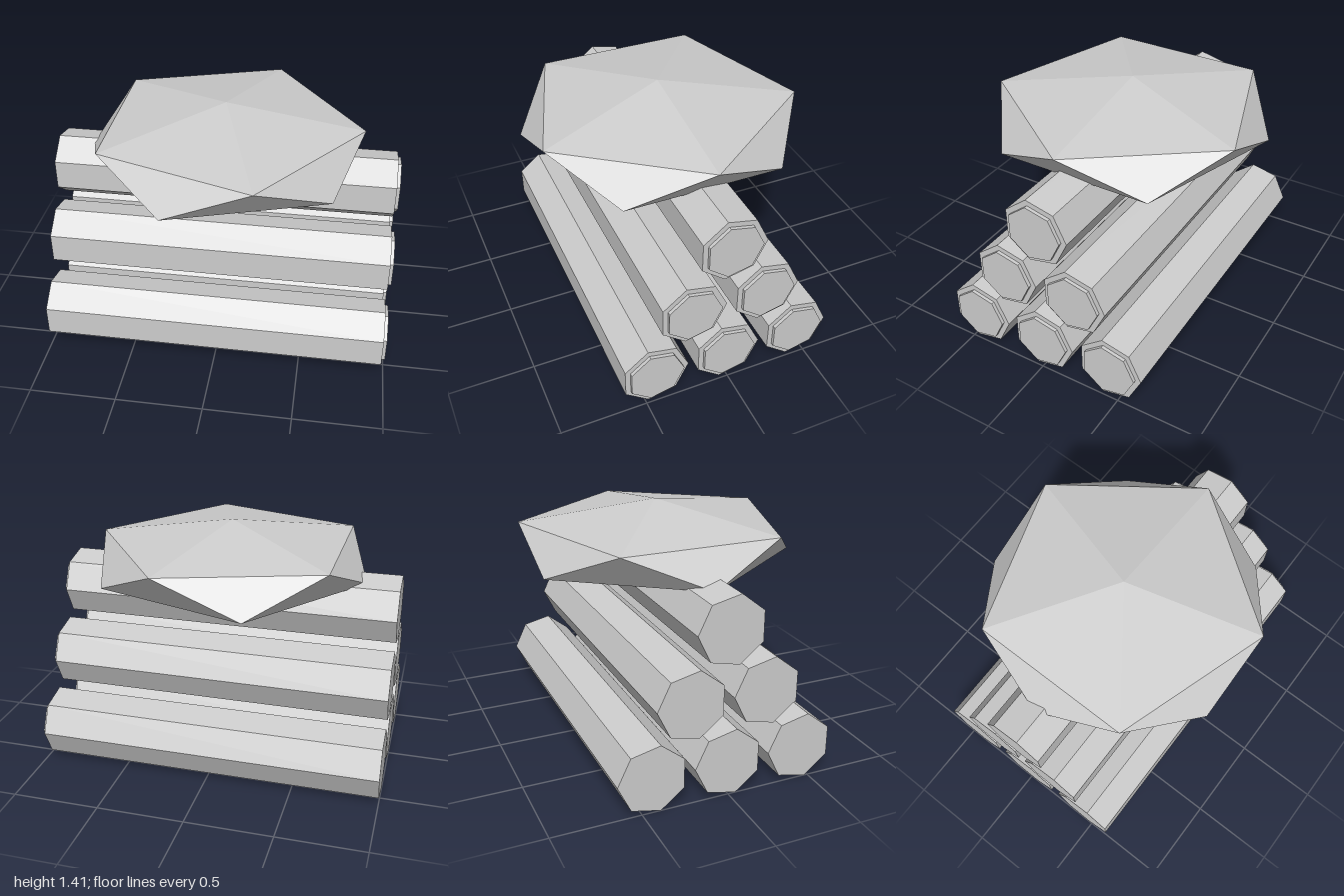
import * as THREE from 'three';

export function createModel() {
  const model = new THREE.Group();
  const grey = new THREE.MeshStandardMaterial({ color: 0xcccccc, flatShading: true });
  grey.name = 'paleGrey';

  // Seven-sided prism lying along x, one corner pointing to the back
  const prism = (radius, x0, x1) =>
    new THREE.CylinderGeometry(radius, radius, x1 - x0, 7, 1, false, Math.PI)
      .rotateZ(-Math.PI / 2)
      .translate((x0 + x1) / 2, 0, 0);
  const barkGeometry = prism(0.197, -1, 0.98);
  const capGeometry = prism(0.164, 0.97, 1);

  // Pyramid stack of logs: three, two, one
  [3, 2, 1].forEach((count, row) => {
    for (let i = 0; i < count; i++) {
      const log = new THREE.Group();
      log.name = `log${row + 1}_${i + 1}`;
      const bark = new THREE.Mesh(barkGeometry, grey);
      bark.name = 'logBody';
      const cap = new THREE.Mesh(capGeometry, grey);
      cap.name = 'cutEnd';
      log.add(bark, cap);
      log.position.set(0, 0.192 + row * 0.378, ((count - 1) / 2 - i) * 0.437);
      model.add(log);
    }
  });

  // Snow cap: flattened icosahedron standing on a corner, resting on the top log
  const tilt = Math.atan(2 / (1 + Math.sqrt(5)));
  const snowGeometry = new THREE.IcosahedronGeometry(1, 0)
    .rotateZ(-tilt)
    .scale(0.888, 0.222, 0.888)
    .translate(-0.01, 1.187, 0);
  const snow = new THREE.Mesh(snowGeometry, grey);
  snow.name = 'snowCap';
  model.add(snow);

  return model;
}
